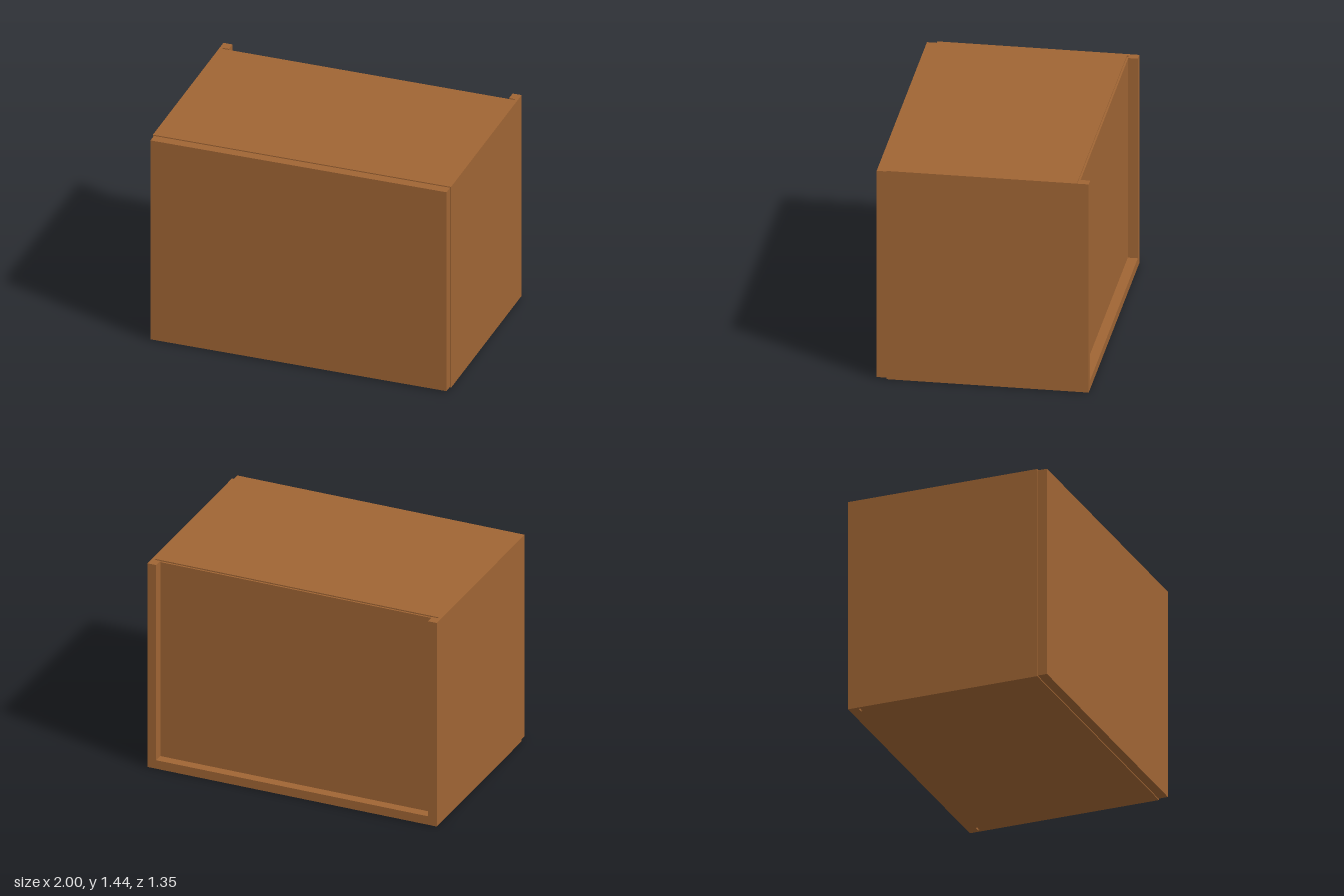
import * as THREE from 'three';

const WIDTH = 2, HEIGHT = 1.44, BOARD = 0.06;
const BACK = -0.677, BODY_FRONT = 0.613, DOOR_FRONT = 0.677;
const GROOVE_BACK = -0.613, GROOVE_FRONT = -0.601;

export function createModel() {
  const group = new THREE.Group();
  const wood = new THREE.MeshStandardMaterial({ color: 0xa06534 });
  wood.name = 'brown wood';

  function add(name, geometry) {
    const mesh = new THREE.Mesh(geometry, wood);
    mesh.name = name;
    group.add(mesh);
    return mesh;
  }

  // Board given by its limits on each axis
  function board(name, [x0, x1], [y0, y1], [z0, z1]) {
    const mesh = add(name, new THREE.BoxGeometry(x1 - x0, y1 - y0, z1 - z0));
    mesh.position.set((x0 + x1) / 2, (y0 + y1) / 2, (z0 + z1) / 2);
  }

  const outer = WIDTH / 2, inner = outer - BOARD;

  // Side boards, each with an upright groove that holds the back panel
  for (const side of [1, -1]) {
    const outline = [
      [outer, BACK], [outer, BODY_FRONT], [inner, BODY_FRONT],
      [inner, GROOVE_FRONT], [0.98, GROOVE_FRONT],
      [0.98, GROOVE_BACK], [inner, GROOVE_BACK], [inner, BACK],
    ].map(([x, z]) => new THREE.Vector2(side * x, -z));
    const geometry = new THREE.ExtrudeGeometry(new THREE.Shape(outline), {
      depth: HEIGHT, bevelEnabled: false,
    });
    geometry.rotateX(-Math.PI / 2);
    add(side > 0 ? 'leftSide' : 'rightSide', geometry);
  }

  // Bottom runs the full depth, top stops at the back panel
  board('bottom', [-inner, inner], [0, BOARD], [BACK, BODY_FRONT]);
  board('top', [-inner, inner], [HEIGHT - BOARD, HEIGHT], [GROOVE_FRONT, BODY_FRONT]);

  // Thin back panel set into the grooves
  board('backPanel', [-0.97, 0.97], [BOARD, HEIGHT - 0.008], [GROOVE_BACK, GROOVE_FRONT]);

  // Plain door, slightly smaller than the cabinet
  board('door', [-0.993, 0.993], [0.007, HEIGHT - 0.007], [BODY_FRONT, DOOR_FRONT]);

  return group;
}
